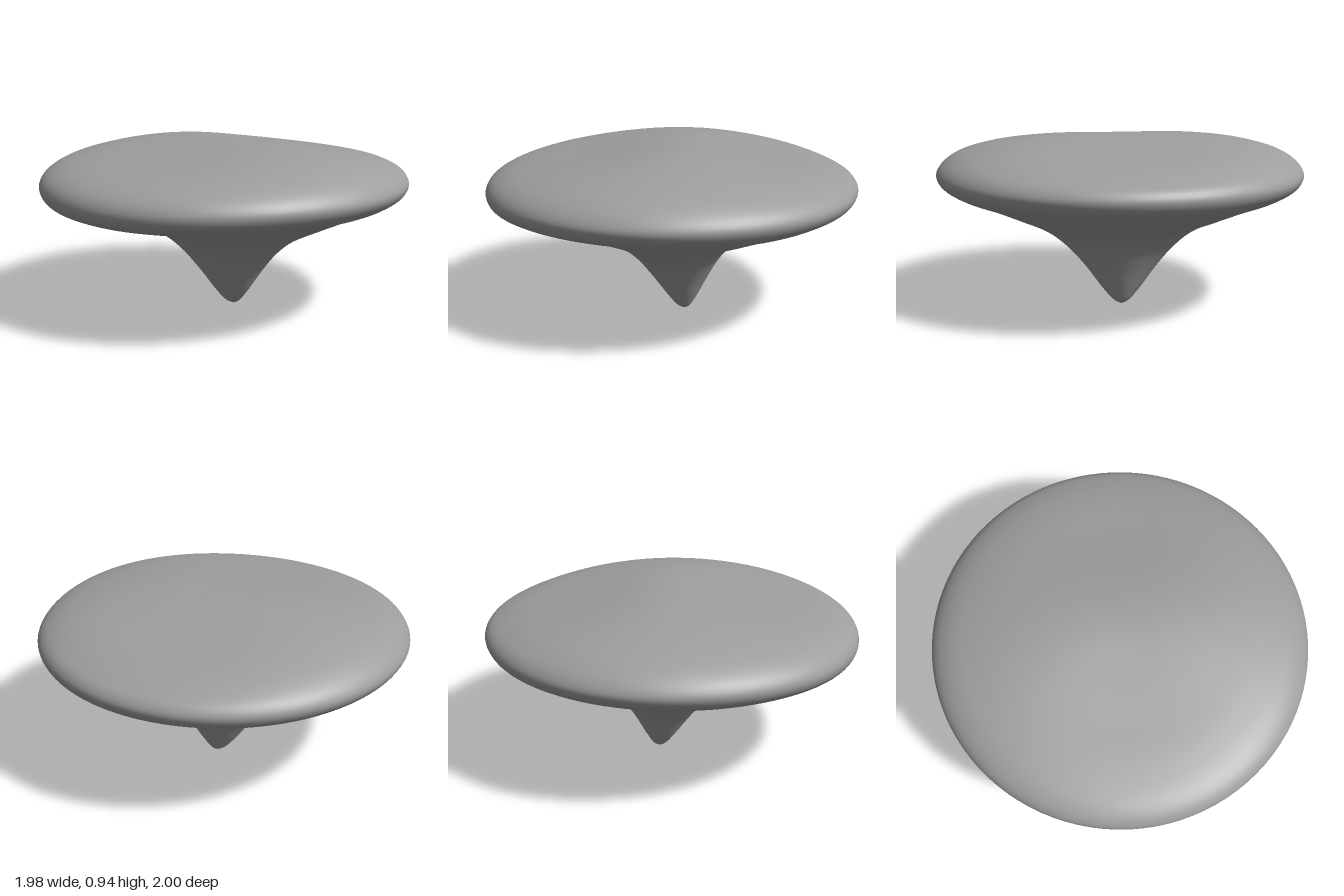
import * as THREE from 'three';

// Outline from the bottom tip, around the rim, to the crown.
// Each row: side [x, y], front [z, y], back [z, y].
const OUTLINE = [
  [0, 0.005, -0.075, 0.005, -0.075, 0.005],
  [0.04, 0.025, -0.03, 0.03, -0.105, 0.025],
  [0.1, 0.09, 0.03, 0.105, -0.145, 0.09],
  [0.2, 0.225, 0.115, 0.22, -0.215, 0.225],
  [0.3, 0.335, 0.21, 0.34, -0.285, 0.34],
  [0.41, 0.42, 0.32, 0.435, -0.375, 0.43],
  [0.6, 0.515, 0.5, 0.515, -0.57, 0.5],
  [0.78, 0.595, 0.72, 0.57, -0.76, 0.575],
  [0.91, 0.645, 0.91, 0.615, -0.91, 0.635],
  [0.972, 0.69, 0.982, 0.655, -0.98, 0.68],
  [0.99, 0.735, 1.0, 0.71, -1.0, 0.73],
  [0.965, 0.785, 0.975, 0.765, -0.975, 0.775],
  [0.89, 0.84, 0.9, 0.813, -0.9, 0.81],
  [0.74, 0.888, 0.75, 0.85, -0.77, 0.845],
  [0.52, 0.926, 0.5, 0.883, -0.55, 0.878],
  [0.28, 0.944, 0.25, 0.917, -0.32, 0.918],
  [0.1, 0.946, 0.05, 0.942, -0.14, 0.943],
  [0, 0.947, -0.05, 0.947, -0.05, 0.947],
];

// Smooth curve through one column pair of the outline
const curveOf = (col) => new THREE.CatmullRomCurve3(
  OUTLINE.map((row) => new THREE.Vector3(row[col], row[col + 1], 0)));

function bodyGeometry(rings = 102, segments = 96) {
  const [side, front, back] = [0, 2, 4].map(curveOf);
  const positions = [];
  const indices = [];

  // Tip and crown are single vertices; rings between them blend the three outlines
  const start = front.getPoint(0);
  positions.push(0, start.y, start.x);
  for (let i = 1; i < rings; i++) {
    const s = side.getPoint(i / rings);
    const f = front.getPoint(i / rings);
    const b = back.getPoint(i / rings);
    for (let j = 0; j < segments; j++) {
      const a = (j / segments) * Math.PI * 2;
      const c = Math.cos(a), n = Math.sin(a);
      const endY = (f.y + b.y) / 2 + ((f.y - b.y) / 2) * n;
      positions.push(
        s.x * c,
        s.y * c * c + endY * n * n,
        (f.x + b.x) / 2 + ((f.x - b.x) / 2) * n);
    }
  }
  const end = front.getPoint(1);
  positions.push(0, end.y, end.x);
  const last = positions.length / 3 - 1;

  const at = (i, j) => 1 + (i - 1) * segments + (j % segments);
  for (let j = 0; j < segments; j++) {
    indices.push(0, at(1, j), at(1, j + 1));
    for (let i = 1; i < rings - 1; i++) {
      indices.push(at(i, j), at(i + 1, j), at(i, j + 1));
      indices.push(at(i, j + 1), at(i + 1, j), at(i + 1, j + 1));
    }
    indices.push(at(rings - 1, j), last, at(rings - 1, j + 1));
  }

  const geometry = new THREE.BufferGeometry();
  geometry.setAttribute('position', new THREE.Float32BufferAttribute(positions, 3));
  geometry.setIndex(indices);
  geometry.computeVertexNormals();
  return geometry;
}

export function createModel() {
  const group = new THREE.Group();
  group.name = 'spinningTop';
  // One continuous skin: pointed stem, rounded rim and softly ridged crown
  const body = new THREE.Mesh(bodyGeometry(), new THREE.MeshStandardMaterial({ color: 0x9e9e9e }));
  body.name = 'topBody';
  group.add(body);
  return group;
}
